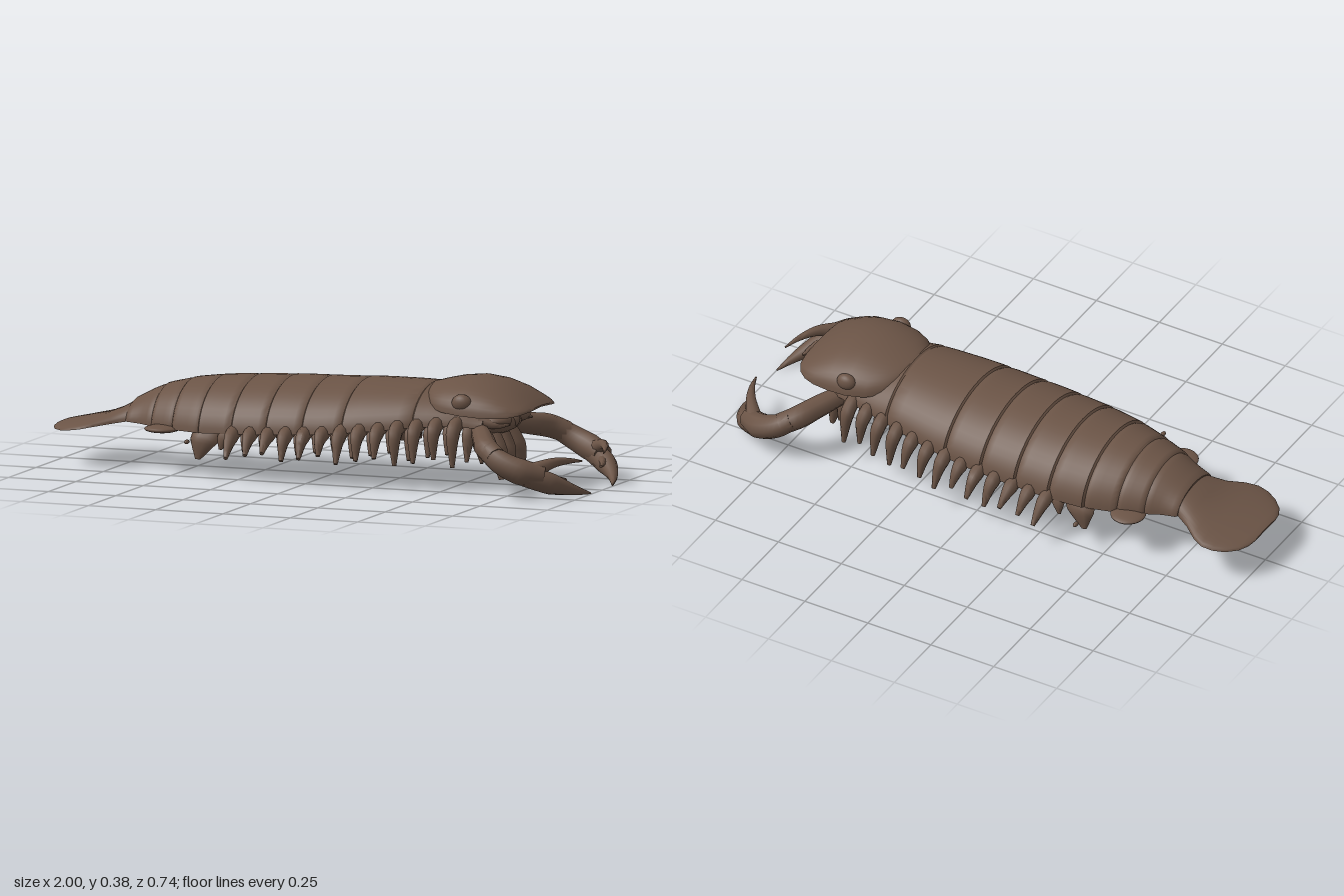
import * as THREE from 'three';
import { toCreasedNormals } from 'three/addons/utils/BufferGeometryUtils.js';

const shell = new THREE.MeshStandardMaterial({ color: 0x6b5446 });
shell.name = 'brown shell';

// Skin a list of closed rings (arrays of Vector3) and cap both ends
function loft(rings, crease = 0.7) {
  const n = rings[0].length, pos = [], idx = [];
  rings.forEach(r => r.forEach(p => pos.push(p.x, p.y, p.z)));
  for (let k = 0; k < rings.length - 1; k++) {
    for (let i = 0; i < n; i++) {
      const a = k * n + i, b = k * n + (i + 1) % n;
      idx.push(a, b, a + n, b, b + n, a + n);
    }
  }
  [0, rings.length - 1].forEach((k, end) => {
    const c = new THREE.Vector3();
    rings[k].forEach(p => c.addScaledVector(p, 1 / n));
    const ci = pos.length / 3;
    pos.push(c.x, c.y, c.z);
    for (let i = 0; i < n; i++) {
      const a = k * n + i, b = k * n + (i + 1) % n;
      if (end) idx.push(ci, a, b); else idx.push(ci, b, a);
    }
  });
  const g = new THREE.BufferGeometry();
  g.setAttribute('position', new THREE.Float32BufferAttribute(pos, 3));
  g.setIndex(idx);
  return toCreasedNormals(g, crease);
}

// Domed cross-section with a hollowed underside; power sets how steep the sides are
function dome([x, w, top, base], hollow, power = 0.9, s = 1) {
  const ring = [], h = (top - base) * s;
  for (let i = 0; i <= 24; i++) {
    const t = Math.PI * i / 24;
    ring.push(new THREE.Vector3(x, base + h * Math.pow(Math.abs(Math.sin(t)), power), -w * s * Math.cos(t)));
  }
  for (let i = 1; i < 16; i++) {
    const u = 1 - i / 8;
    ring.push(new THREE.Vector3(x, base + h * hollow * (1 - u * u), w * s * u));
  }
  return ring;
}

// Tapered limb through points; stretch widens it along x
function limb(points, radii, stretch = 1, sides = 10, steps = 14) {
  const curve = new THREE.CatmullRomCurve3(points.map(p => new THREE.Vector3(...p)));
  const f = curve.computeFrenetFrames(steps);
  const rings = [];
  for (let k = 0; k <= steps; k++) {
    const c = curve.getPointAt(k / steps);
    const q = k / steps * (radii.length - 1), j = Math.min(Math.floor(q), radii.length - 2);
    const r = THREE.MathUtils.lerp(radii[j], radii[j + 1], q - j);
    rings.push(Array.from({ length: sides }, (_, i) => {
      const a = 2 * Math.PI * i / sides;
      const d = new THREE.Vector3().addScaledVector(f.normals[k], r * Math.cos(a))
        .addScaledVector(f.binormals[k], r * Math.sin(a));
      d.x *= stretch;
      return d.add(c);
    }));
  }
  return loft(rings, 1);
}

// Body outline: x, half width, top, lower edge
const outline = [
  [-0.73, 0.122, 0.225, 0.16], [-0.66, 0.138, 0.262, 0.157], [-0.6, 0.168, 0.288, 0.155],
  [-0.5, 0.203, 0.312, 0.152], [-0.4, 0.233, 0.325, 0.152], [-0.28, 0.25, 0.333, 0.157],
  [-0.1, 0.258, 0.341, 0.166], [0.05, 0.257, 0.344, 0.175], [0.2, 0.248, 0.35, 0.19],
  [0.38, 0.222, 0.35, 0.212], [0.5, 0.2, 0.33, 0.222], [0.62, 0.17, 0.285, 0.215],
];
function bodyAt(x) {
  let i = 0;
  while (i < outline.length - 2 && x > outline[i + 1][0]) i++;
  const a = outline[i], b = outline[i + 1], t = (x - a[0]) / (b[0] - a[0]);
  return a.map((v, k) => v + (b[k] - v) * t);
}
const bodyRing = (x, s = 1) => dome(bodyAt(x), 0.25, 1.1, s);

export function createModel() {
  const model = new THREE.Group();
  const add = (name, geo) => {
    const m = new THREE.Mesh(geo, shell);
    m.name = name;
    model.add(m);
    return m;
  };
  const ball = (name, p, s) => {
    const m = add(name, new THREE.SphereGeometry(1, 20, 14));
    m.position.set(...p);
    m.scale.set(...s);
  };

  // Plated body, one skin pinched at each seam
  const seams = [-0.72, -0.61, -0.52, -0.41, -0.28, -0.15, -0.015, 0.13, 0.38, 0.62];
  const rings = [];
  for (let i = 0; i < seams.length - 1; i++) {
    const a = seams[i], b = seams[i + 1];
    rings.push(bodyRing(a, 0.967), bodyRing(a + 0.006, 1.003));
    for (let k = 1; k < 5; k++) rings.push(bodyRing(a + (b - a) * k / 5));
    rings.push(bodyRing(b - 0.01, 0.993));
  }
  rings.push(bodyRing(0.62));
  add('platedBody', loft(rings));

  // Head shield
  add('headShield', loft([
    [0.377, 0.04, 0.343, 0.315], [0.383, 0.085, 0.347, 0.305], [0.4, 0.13, 0.352, 0.292],
    [0.43, 0.165, 0.36, 0.28], [0.48, 0.195, 0.371, 0.269], [0.55, 0.21, 0.378, 0.262],
    [0.62, 0.209, 0.369, 0.258], [0.68, 0.203, 0.347, 0.258], [0.72, 0.19, 0.323, 0.26],
    [0.75, 0.168, 0.303, 0.265], [0.766, 0.14, 0.29, 0.27], [0.773, 0.1, 0.283, 0.273],
  ].map(r => dome(r, 0.5))));

  // Tail fan
  add('tailFan', loft([
    [-1, 0.07, 0.133, 0.126], [-0.993, 0.105, 0.136, 0.123], [-0.975, 0.14, 0.14, 0.122],
    [-0.94, 0.174, 0.147, 0.123], [-0.9, 0.194, 0.156, 0.128], [-0.86, 0.199, 0.165, 0.134],
    [-0.82, 0.182, 0.176, 0.142], [-0.77, 0.143, 0.195, 0.15], [-0.72, 0.116, 0.222, 0.158],
    [-0.69, 0.12, 0.23, 0.162],
  ].map(r => dome(r, 0.05))));

  // Belly ridges
  for (const z of [-0.15, -0.09, -0.03, 0.03, 0.09, 0.15]) {
    add('bellyRidge', limb([[-0.68, 0.172, z * 0.5], [-0.2, 0.193, z], [0.2, 0.212, z], [0.6, 0.23, z * 0.8]],
      [0.01, 0.02, 0.02, 0.015]));
  }

  // Mouth block and central mouthpart
  ball('mouth', [0.6, 0.222, 0], [0.085, 0.045, 0.16]);
  ball('snout', [0.66, 0.232, 0], [0.035, 0.032, 0.022]);
  add('middleMouthLeg', limb([[0.61, 0.21, 0], [0.65, 0.12, 0], [0.665, 0.032, 0]], [0.03, 0.03, 0.009]));

  for (const s of [-1, 1]) {
    const path = pts => pts.map(([x, y, z]) => [x, y, z * s]);
    const part = (name, pts, radii, stretch) => add(name, limb(path(pts), radii, stretch));

    ball('eye', [0.555, 0.305, 0.188 * s], [0.036, 0.03, 0.024]);
    ball('cheek', [0.64, 0.235, 0.085 * s], [0.055, 0.027, 0.06]);

    // Mouth legs
    part('mouthLeg', [[0.6, 0.21, 0.07], [0.65, 0.12, 0.085], [0.665, 0.032, 0.095]], [0.035, 0.034, 0.009]);
    part('shortMouthLeg', [[0.57, 0.21, 0.04], [0.61, 0.15, 0.048], [0.62, 0.075, 0.05]], [0.03, 0.025, 0.005]);
    part('sideMouthLeg', [[0.57, 0.21, 0.11], [0.6, 0.15, 0.13], [0.61, 0.09, 0.14]], [0.03, 0.025, 0.005]);
    part('feeler', [[0.6, 0.24, 0.14], [0.66, 0.225, 0.13], [0.7, 0.225, 0.1]], [0.02, 0.014, 0.003]);

    // Outer and inner leg rows
    for (let i = 0; i < 13; i++) {
      const x = -0.275 + i * 0.067, [, w, , b] = bodyAt(x);
      const out = w + 0.078 - i * 0.003 - (i % 2) * 0.01, low = 0.085 + (i % 3) * 0.012;
      part('leg', [[x, b + 0.02, w - 0.07], [x + 0.004, b - 0.012, w + 0.018], [x + 0.01, low, out]],
        [0.028, 0.027, 0.008], 0.9);
      part('innerLeg', [[x + 0.03, b + 0.02, w - 0.1], [x + 0.034, b - 0.025, w - 0.05], [x + 0.038, low + 0.012, w - 0.02]],
        [0.026, 0.025, 0.007], 0.9);
    }

    // Flat rear fins
    ball('rearFin', [-0.56, 0.152, 0.18 * s], [0.062, 0.014, 0.063]);
    part('sideFin', [[-0.37, 0.175, 0.18], [-0.39, 0.125, 0.215], [-0.41, 0.06, 0.225]], [0.025, 0.021, 0.004], 2.6);
    part('smallFin', [[-0.29, 0.18, 0.19], [-0.31, 0.14, 0.23], [-0.32, 0.1, 0.24]], [0.022, 0.02, 0.004], 1.5);
    ball('spur', [-0.42, 0.13, 0.3 * s], [0.008, 0.008, 0.014]);

    // Pincer arm, fingers and spike
    part('upperArm', [[0.6, 0.2, 0.13], [0.65, 0.183, 0.22], [0.69, 0.167, 0.29], [0.74, 0.142, 0.325]],
      [0.032, 0.038, 0.041, 0.038]);
    part('foreArm', [[0.7, 0.165, 0.305], [0.75, 0.132, 0.325], [0.82, 0.1, 0.317], [0.89, 0.08, 0.275]],
      [0.036, 0.041, 0.046, 0.038]);
    part('lowerFinger', [[0.84, 0.085, 0.308], [0.91, 0.054, 0.255], [0.965, 0.025, 0.18], [0.998, 0.004, 0.1]],
      [0.038, 0.038, 0.02, 0.003]);
    part('upperFinger', [[0.86, 0.1, 0.295], [0.91, 0.122, 0.23], [0.945, 0.122, 0.16], [0.965, 0.114, 0.1]],
      [0.03, 0.019, 0.011, 0.003]);
    part('clawSpike', [[0.9, 0.07, 0.25], [0.92, 0.062, 0.2], [0.93, 0.056, 0.16]], [0.018, 0.011, 0.005]);
  }
  return model;
}
